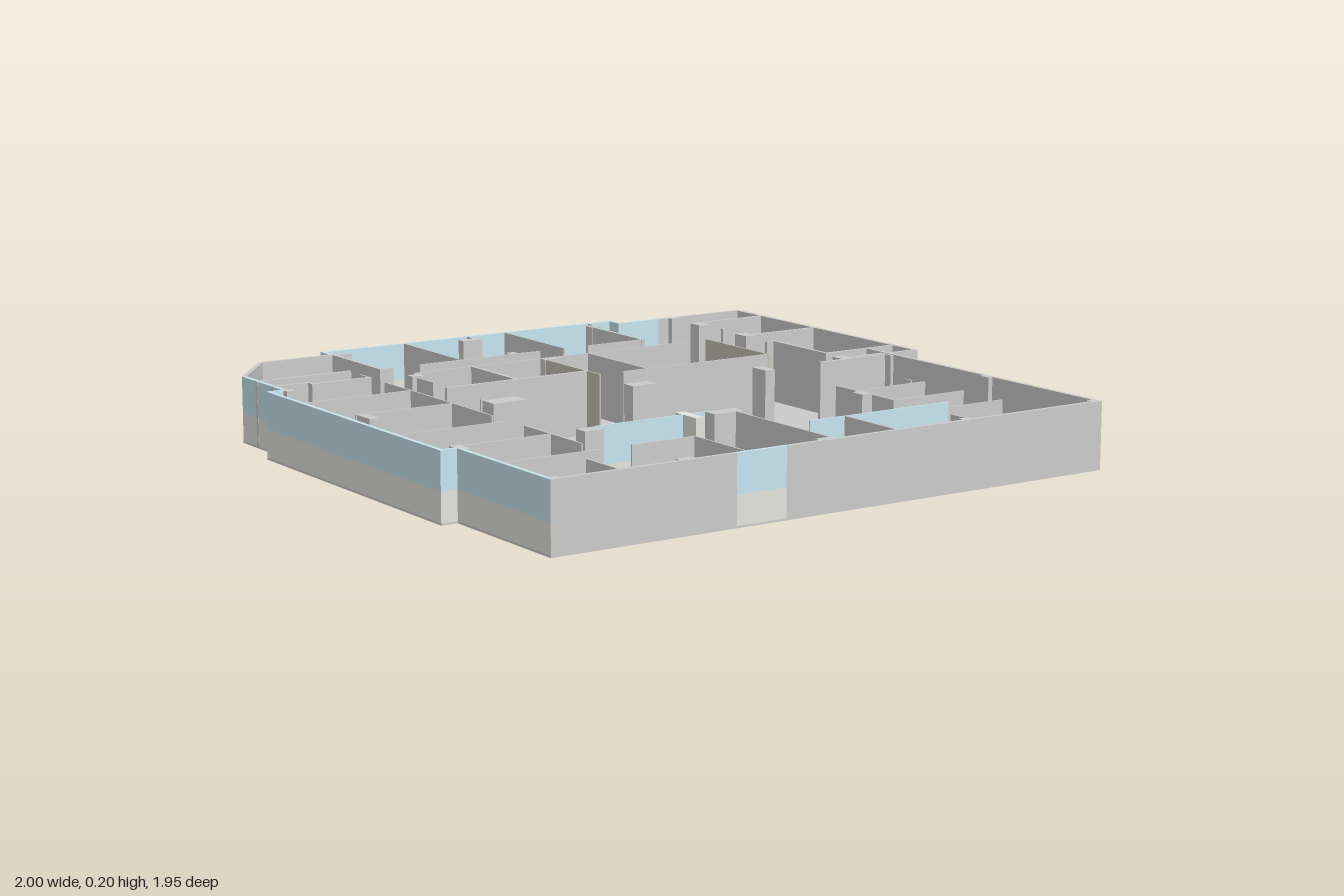
import * as THREE from 'three';

const H = 0.2, FLOOR = 0.006, SILL = 0.09, T = 0.013;

const mat = (color) => new THREE.MeshStandardMaterial({ color });

export function createModel() {
  const model = new THREE.Group();
  const grey = mat(0xcccccc), glass = mat(0xc8e4ee), panel = mat(0xe4e4dd), tan = mat(0xc4c0b0);

  const add = (name, geo, material) => {
    const mesh = new THREE.Mesh(geo, material);
    mesh.name = name;
    model.add(mesh);
  };

  // Prism over a floor polygon of [x, z] corners, from y0 to y1
  const prism = (name, pts, y0, y1, material) => {
    const shape = new THREE.Shape(pts.map(([x, z]) => new THREE.Vector2(x, -z)));
    const geo = new THREE.ExtrudeGeometry(shape, { depth: y1 - y0, bevelEnabled: false });
    add(name, geo.rotateX(-Math.PI / 2).translate(0, y0, 0), material);
  };

  const block = (name, x, z, w, d, y0, y1, material) =>
    add(name, new THREE.BoxGeometry(w, y1 - y0, d).translate(x, (y0 + y1) / 2, z), material);

  // Axis-aligned wall between two floor points
  const wall = (name, [x1, z1, x2, z2], t, y0 = FLOOR, y1 = H, material = grey) =>
    block(name, (x1 + x2) / 2, (z1 + z2) / 2, Math.abs(x2 - x1) + t, Math.abs(z2 - z1) + t, y0, y1, material);

  // Outline corners; the third value marks a glazed stretch to the next corner
  const outline = [
    [-0.56, -0.975, 1], [0.515, -0.975, 1], [0.515, -0.92, 1], [0.66, -0.92, 0],
    [0.995, -0.92, 0], [0.995, 0.03, 0], [0.89, 0.03, 0], [0.89, 0.975, 0],
    [-0.22, 0.975, 1], [-0.38, 0.975, 0], [-0.95, 0.975, 1], [-0.95, 0.52, 1],
    [-1, 0.52, 1], [-1, -0.475, 1], [-0.95, -0.475, 1], [-0.95, -0.73, 0],
    [-0.8, -0.92, 0], [-0.56, -0.92, 1],
  ];
  prism('floor', outline, 0, FLOOR, grey);

  // Mitred inner corners for the outer walls
  const n = outline.length;
  const normal = (i) => {
    const [ax, az] = outline[i], [bx, bz] = outline[(i + 1) % n];
    const l = Math.hypot(bx - ax, bz - az);
    return [-(bz - az) / l, (bx - ax) / l];
  };
  const inner = outline.map(([x, z], i) => {
    const a = normal((i + n - 1) % n), b = normal(i);
    const k = T / (1 + a[0] * b[0] + a[1] * b[1]);
    return [x + (a[0] + b[0]) * k, z + (a[1] + b[1]) * k];
  });
  outline.forEach((p, i) => {
    const j = (i + 1) % n;
    const quad = [p, outline[j], inner[j], inner[i]];
    if (p[2]) {
      prism('windowSill', quad, FLOOR, SILL, panel);
      prism('windowGlass', quad, SILL, H, glass);
    } else prism('outerWall', quad, FLOOR, H, grey);
  });

  // Thin partitions of the back and middle rooms
  [
    [-0.27, -0.965, -0.27, -0.61], [0.1, -0.965, 0.1, -0.61],
    [-0.55, -0.61, -0.51, -0.61], [-0.415, -0.61, 0.01, -0.61], [0.19, -0.61, 0.4, -0.61],
    [-0.5, -0.495, 0.485, -0.495], [-0.53, -0.42, -0.53, -0.33],
    [0.115, -0.495, 0.115, -0.17], [0.03, -0.17, 0.565, -0.17],
    [-0.04, -0.965, -0.04, -0.92], [0.42, -0.965, 0.42, -0.92],
  ].forEach((w) => wall('partition', w, 0.005));

  // Thin partitions of the right-hand and front rooms
  [
    [-0.645, -0.565, -0.645, -0.51], [-0.99, -0.26, -0.645, -0.26],
    [-0.645, -0.41, -0.645, 0.19], [-0.95, -0.025, -0.645, -0.025],
    [-0.99, 0.28, -0.645, 0.28], [-0.645, 0.365, -0.645, 0.645],
    [-0.95, 0.495, -0.645, 0.495], [-0.94, 0.735, -0.645, 0.735],
    [-0.74, 0.82, -0.74, 0.95], [-0.55, -0.025, -0.525, -0.025],
    [-0.545, 0.735, -0.345, 0.735], [-0.345, 0.735, -0.345, 0.965],
    [-0.055, 0.52, -0.055, 0.965], [0.155, 0.74, 0.155, 0.965],
  ].forEach((w) => wall('partition', w, 0.005));

  // Timber-toned partitions
  wall('tonedPartition', [-0.055, -0.495, -0.055, -0.17], 0.006, FLOOR, H, tan);
  wall('tonedPartition', [0.565, -0.495, 0.565, -0.17], 0.006, FLOOR, H, tan);

  // Thicker inner walls
  [
    [-0.55, -0.96, -0.55, -0.61], [0.395, -0.9, 0.395, -0.61],
    [-0.535, -0.24, -0.055, -0.24], [-0.3, -0.495, -0.3, -0.24],
    [-0.945, -0.635, -0.645, -0.635], [-0.945, -0.535, -0.83, -0.535],
    [-0.83, -0.535, -0.83, -0.51], [-0.83, -0.51, -0.645, -0.51],
    [0.735, -0.778, 0.985, -0.778], [0.735, -0.49, 0.985, -0.49],
    [0.725, -0.355, 0.725, -0.085], [0.7, -0.355, 0.73, -0.355],
    [0.725, -0.083, 0.985, -0.083], [0.883, -0.08, 0.883, 0.024],
    [0.735, 0.012, 0.865, 0.012], [0.615, 0.033, 0.855, 0.033], [0.865, 0.012, 0.865, 0.06],
  ].forEach((w) => wall('innerWall', w, 0.011));

  // Glazed partitions: solid lower panel with glass above
  [[-0.49, 0.475, -0.13, 0.475], [0.035, 0.74, 0.52, 0.74]].forEach((w) => {
    wall('glazedPartitionPanel', w, 0.005, FLOOR, SILL, panel);
    wall('glazedPartitionGlass', w, 0.005, SILL, H, glass);
  });

  // Low bay dividers, each with a short return
  [[0.21, 0.12], [0.39, 0.295], [0.565, 0.5], [0.795, 0.655]].forEach(([z, start]) => {
    wall('bayDivider', [0.61, z, 0.877, z], 0.005, FLOOR, 0.14);
    wall('bayReturn', [0.61, start, 0.61, z], 0.005, FLOOR, 0.14);
  });
  wall('bayFin', [0.855, 0.14, 0.855, 0.17], 0.005, FLOOR, 0.14);

  // Columns: x, z, width, depth
  [
    [-0.52, -0.91, 0.05, 0.03], [-0.06, -0.91, 0.07, 0.03], [0.405, -0.91, 0.035, 0.035],
    [-0.08, -0.625, 0.03, 0.03], [-0.515, -0.46, 0.04, 0.03], [-0.035, -0.48, 0.05, 0.03],
    [-0.935, -0.455, 0.03, 0.03], [-0.935, 0.01, 0.03, 0.08], [-0.935, 0.51, 0.03, 0.06],
    [-0.5, 0.02, 0.11, 0.06], [-0.04, 0.025, 0.085, 0.045], [0.405, 0.025, 0.035, 0.065],
    [-0.525, 0.5, 0.06, 0.045], [-0.08, 0.5, 0.1, 0.045], [0.405, 0.5, 0.035, 0.045],
  ].forEach(([x, z, w, d]) => block('column', x, z, w, d, FLOOR, H, grey));
  [
    [-0.93, 0.955, 0.03, 0.02], [-0.53, 0.955, 0.045, 0.02], [-0.075, 0.953, 0.06, 0.02],
    [0.405, 0.955, 0.035, 0.02], [0.868, 0.955, 0.02, 0.02], [0.87, 0.5, 0.016, 0.04],
    [0.72, -0.9, 0.04, 0.03], [0.72, -0.755, 0.04, 0.05], [0.72, -0.5, 0.04, 0.06],
    [0.73, -0.635, 0.012, 0.012], [0.72, 0.005, 0.04, 0.05],
  ].forEach(([x, z, w, d]) => block('wallPier', x, z, w, d, FLOOR, H, grey));

  // Pale cabinet straddling the glazed partition
  block('cabinet', -0.19, 0.49, 0.03, 0.1, FLOOR, H, panel);

  return model;
}
